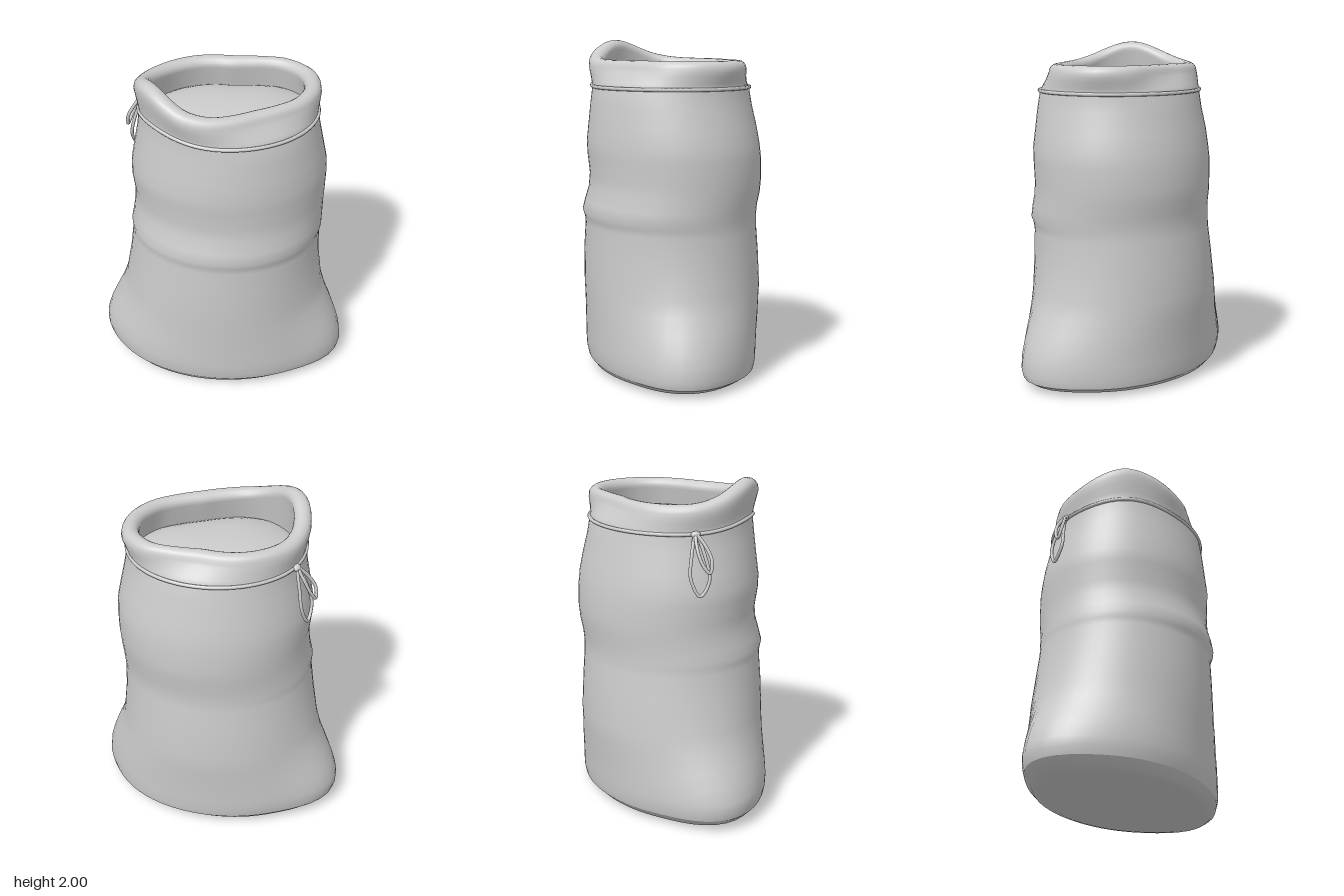
import * as THREE from 'three';

const N = 64; // points around each ring
const material = new THREE.MeshStandardMaterial({ color: 0xcccccc });

// Body levels: y, left-most x, right-most x, front z, back z
const LEVELS = [
  [0.065, -0.69, 0.69, 0.54, -0.54],
  [0.11, -0.70, 0.70, 0.553, -0.552],
  [0.18, -0.70, 0.695, 0.553, -0.555],
  [0.26, -0.68, 0.68, 0.55, -0.553],
  [0.35, -0.65, 0.66, 0.545, -0.55],
  [0.45, -0.615, 0.63, 0.54, -0.548],
  [0.55, -0.593, 0.61, 0.535, -0.545],
  [0.75, -0.567, 0.59, 0.53, -0.525],
  [0.90, -0.55, 0.585, 0.525, -0.507],
  [0.94, -0.55, 0.585, 0.53, -0.505],
  [0.98, -0.555, 0.59, 0.545, -0.505],
  [1.04, -0.54, 0.595, 0.535, -0.505],
  [1.12, -0.525, 0.605, 0.515, -0.515],
  [1.20, -0.52, 0.612, 0.51, -0.518],
  [1.32, -0.537, 0.615, 0.517, -0.515],
  [1.40, -0.537, 0.61, 0.52, -0.505],
  [1.50, -0.52, 0.588, 0.51, -0.49],
  [1.62, -0.498, 0.56, 0.498, -0.463],
  [1.728, -0.485, 0.54, 0.482, -0.446],
];

// Outer radius of the lip every 20 degrees, from +x towards +z
const RIM = [0.57, 0.56, 0.515, 0.452, 0.42, 0.432, 0.468, 0.50, 0.505,
  0.51, 0.505, 0.485, 0.45, 0.42, 0.395, 0.385, 0.43, 0.52];
const rimCurve = new THREE.CatmullRomCurve3(RIM.map((r, i) => {
  const a = i * Math.PI / 9;
  return new THREE.Vector3(r * Math.cos(a), 0, r * Math.sin(a));
}), true, 'catmullrom');

const makeRing = (fn) => Array.from({ length: N }, (_, i) => fn(i / N * Math.PI * 2, i / N));

// The mouth rises to a peak on the -x side
const peak = (a) => Math.exp(-(((a - 2.97) / 0.53) ** 2));

// Sheared ellipse with two full corners at the base, straightening upwards
function bodyRing([y, xl, xr, zf, zb], grow = 0) {
  const a = (xr - xl) / 2 + grow, b = (zf - zb) / 2 + grow;
  const cx = (xr + xl) / 2, cz = (zf + zb) / 2;
  const low = 1 - THREE.MathUtils.smoothstep(y, 0.1, 0.7);
  const shear = THREE.MathUtils.lerp(0.06, 0.24, low);
  return makeRing((t) => {
    const c = Math.cos(t), s = Math.sin(t);
    const corner = 1 + low * (0.085 * Math.max(0, Math.cos(2 * (t - 0.57))) ** 4 - 0.027);
    const r = corner * Math.cos(shear)
      / Math.sqrt((c / a) ** 2 + (s / b) ** 2 - 2 * Math.sin(shear) * c * s / (a * b));
    const tilt = -0.012 * c * Math.sin(Math.PI * y / 1.728);
    const lift = 0.045 * peak(t) * THREE.MathUtils.smoothstep(y, 1.4, 1.728);
    const base = y < 0.15 ? -0.015 * c : 0;
    return new THREE.Vector3(cx + r * c, y + tilt + lift + base, cz + r * s);
  });
}

// Ring that follows the lip, moved in from its outside, at a height given by the angle
function rimRing(inset, height) {
  return makeRing((t, u) => {
    const p = rimCurve.getPoint(u);
    p.setLength(p.length() - inset);
    p.y = height(t);
    return p;
  });
}
const lipRing = (inset, drop) => rimRing(inset, (t) => 1.887 + 0.113 * peak(t) - drop);

const mixRings = (a, b, k) => a.map((p, i) => p.clone().lerp(b[i], k));

// Smooth skin over a stack of closed rings
function skin(rings, name) {
  const positions = [], index = [];
  rings.forEach((ring) => ring.forEach((p) => positions.push(p.x, p.y, p.z)));
  for (let j = 0; j < rings.length - 1; j++) {
    for (let i = 0; i < N; i++) {
      const a = j * N + i, b = j * N + (i + 1) % N;
      index.push(a, a + N, b, b, a + N, b + N);
    }
  }
  const geometry = new THREE.BufferGeometry();
  geometry.setAttribute('position', new THREE.Float32BufferAttribute(positions, 3));
  geometry.setIndex(index);
  geometry.computeVertexNormals();
  const mesh = new THREE.Mesh(geometry, material);
  mesh.name = name;
  return mesh;
}

function cord(points, radius, name) {
  const curve = new THREE.CatmullRomCurve3(points, true);
  const mesh = new THREE.Mesh(new THREE.TubeGeometry(curve, 96, radius, 8, true), material);
  mesh.name = name;
  return mesh;
}

export function createModel() {
  const group = new THREE.Group();
  group.name = 'sack';

  // Cloth wall, flared collar, rolled lip and the short inner wall
  const body = LEVELS.map((level) => bodyRing(level));
  const neck = body[body.length - 1];
  const shoulder = lipRing(-0.004, 0.055);
  const collar = [0.3, 0.65, 0.9].map((k) => mixRings(neck, shoulder, k));
  const lip = [];
  for (let k = 0; k <= 9; k++) {
    const a = THREE.MathUtils.degToRad(k * 22);
    lip.push(lipRing(0.05 * (1 - Math.cos(a)), 0.045 * (1 - Math.sin(a))));
  }
  const last = lip[lip.length - 1];
  const inner = rimRing(0.065, () => 1.68);
  group.add(skin([...body, ...collar, ...lip, mixRings(last, inner, 0.5), inner], 'clothBody'));

  // Nearly flat underside with a raised edge
  const bottom = [[0, 0], [0.6, 0.002], [0.85, 0.012], [0.93, 0.026]].map(([k, y]) =>
    body[0].map((p) => new THREE.Vector3(p.x * k, y * (1 - 0.4 * p.x * k), p.z * k)));
  group.add(skin([...bottom, body[0]], 'underside'));

  // Domed contents just below the mouth
  const contents = [1, 0.92, 0.8, 0.6, 0.4, 0.2, 0].map((k) => inner.map((p) =>
    new THREE.Vector3(p.x * k, 1.7 + 0.075 * (1 - k ** 3), p.z * k)));
  group.add(skin(contents, 'contents'));

  // Drawstring around the neck
  const drawstringPath = bodyRing(LEVELS[LEVELS.length - 1], 0.003);
  group.add(cord(drawstringPath, 0.011, 'drawstring'));

  // Bow: points are sideways, up and outward from the knot
  const bow = new THREE.Group();
  bow.name = 'bow';
  const knotAt = drawstringPath[Math.round(N * 219 / 360)];
  const out = new THREE.Vector3(knotAt.x, 0, knotAt.z).normalize();
  const side = new THREE.Vector3(out.z, 0, -out.x);
  bow.applyMatrix4(new THREE.Matrix4().makeBasis(side, new THREE.Vector3(0, 1, 0), out).setPosition(knotAt));
  const loops = {
    longLoop: [[0, 0, 0.015], [-0.035, -0.12, 0.05], [-0.045, -0.24, 0.075], [0.005, -0.335, 0.09],
      [0.06, -0.25, 0.085], [0.04, -0.11, 0.055]],
    shortLoop: [[0, 0, 0.02], [-0.005, -0.08, 0.07], [0.02, -0.16, 0.1], [0.055, -0.2, 0.11],
      [0.07, -0.14, 0.1], [0.045, -0.06, 0.06]],
  };
  for (const [name, pts] of Object.entries(loops)) {
    bow.add(cord(pts.map((p) => new THREE.Vector3(...p)), 0.01, name));
  }
  const knot = new THREE.Mesh(new THREE.SphereGeometry(0.022, 16, 12), material);
  knot.name = 'knot';
  knot.scale.set(1.3, 0.9, 1);
  knot.position.z = 0.01;
  bow.add(knot);
  group.add(bow);

  return group;
}
